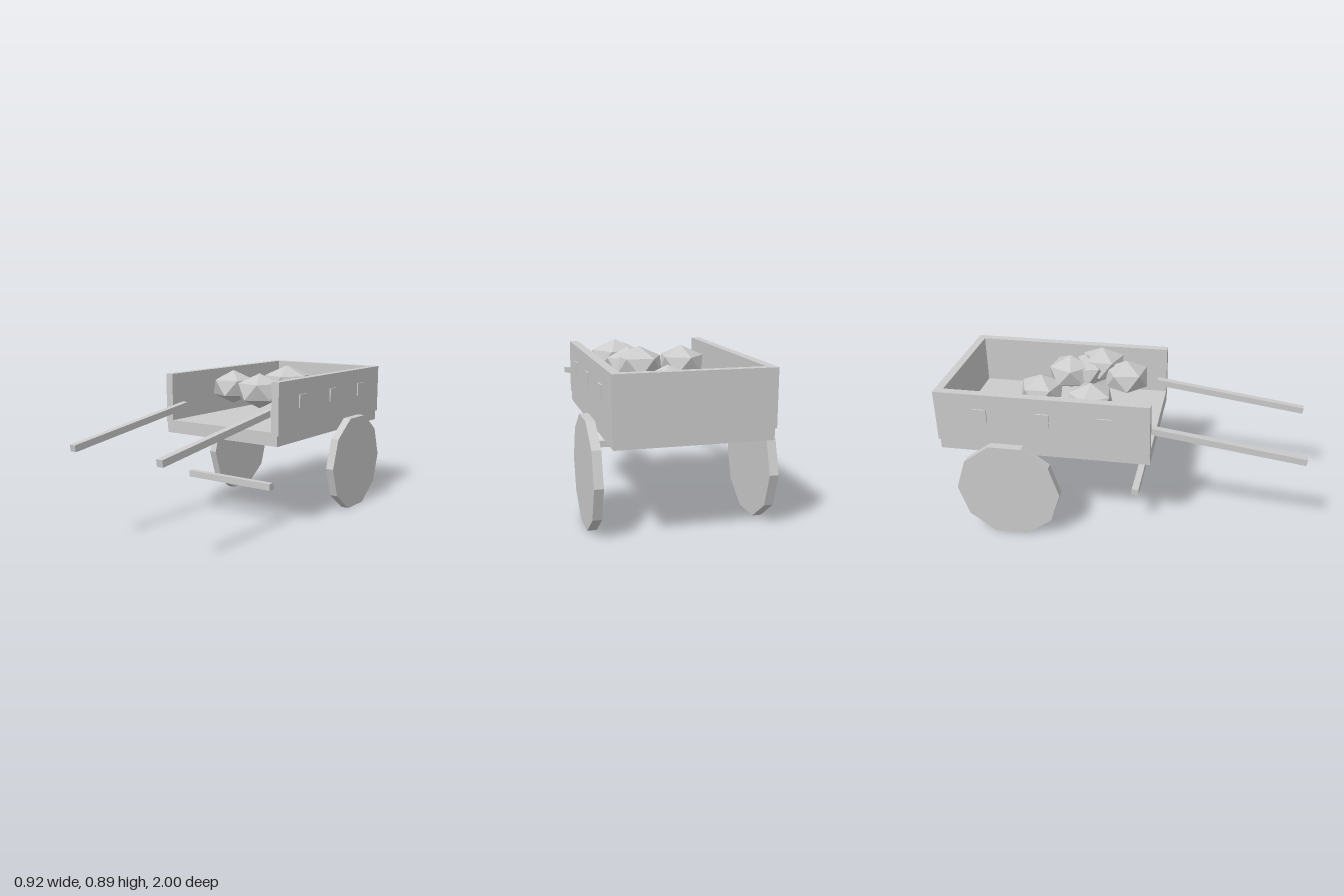
import * as THREE from 'three';

const material = new THREE.MeshStandardMaterial({ color: 0xcccccc, flatShading: true });

export function createModel() {
  const cart = new THREE.Group();
  cart.name = 'handcart';

  const add = (name, geometry, x, y, z) => {
    const mesh = new THREE.Mesh(geometry, material);
    mesh.name = name;
    mesh.position.set(x, y, z);
    cart.add(mesh);
    return mesh;
  };
  // Box given by its minimum and maximum corners
  const box = (name, [x0, y0, z0], [x1, y1, z1]) =>
    add(name, new THREE.BoxGeometry(x1 - x0, y1 - y0, z1 - z0),
      (x0 + x1) / 2, (y0 + y1) / 2, (z0 + z1) / 2);

  // Cart bed, open at the front
  box('floor', [-0.388, 0.485, -0.992], [0.388, 0.56, 0.174]);
  box('backWall', [-0.395, 0.543, -1], [0.395, 0.833, -0.955]);

  // Crossbar below the handles
  box('crossbar', [-0.291, 0.212, 0.061], [0.291, 0.25, 0.099]);

  // Ten-sided wheel with a flat edge on the ground
  const wheelGeometry = new THREE.CylinderGeometry(0.292, 0.292, 0.047, 10).rotateZ(Math.PI / 2);
  const slope = Math.atan2(0.121, 0.873);
  const handleGeometry = new THREE.BoxGeometry(0.038, 0.036, 0.88);

  for (const side of [-1, 1]) {
    const label = side < 0 ? 'right' : 'left';
    const wall = new THREE.BoxGeometry(0.047, 0.29, 1.129);
    add(label + 'Wall', wall, side * 0.3715, 0.688, -0.3905);
    add(label + 'Wheel', wheelGeometry, side * 0.437, 0.278, -0.606);
    add(label + 'Handle', handleGeometry, side * 0.292, 0.591, 0.562).rotation.x = slope;
    // Small square plates on the outside of each wall
    for (const z of [-0.067, -0.406, -0.748]) {
      add(label + 'Plate', new THREE.BoxGeometry(0.03, 0.075, 0.076), side * 0.388, 0.71, z);
    }
  }

  // Flattened rocks: a corner points up, each turned by its own angle
  const rockGeometry = new THREE.IcosahedronGeometry(0.138, 0)
    .rotateZ(Math.atan2(1, (1 + Math.sqrt(5)) / 2))
    .scale(1, 0.73, 1);
  const rocks = [
    [-0.17, 0.738, -0.185, -7],
    [-0.002, 0.686, -0.51, 36],
    [0.115, 0.765, -0.36, 10],
    [0.155, 0.757, -0.285, -20],
    [0.207, 0.785, -0.19, 36],
    [0.127, 0.748, -0.035, -27],
  ];
  for (const [x, y, z, turn] of rocks) {
    add('rock', rockGeometry, x, y, z).rotation.y = THREE.MathUtils.degToRad(turn);
  }

  return cart;
}
